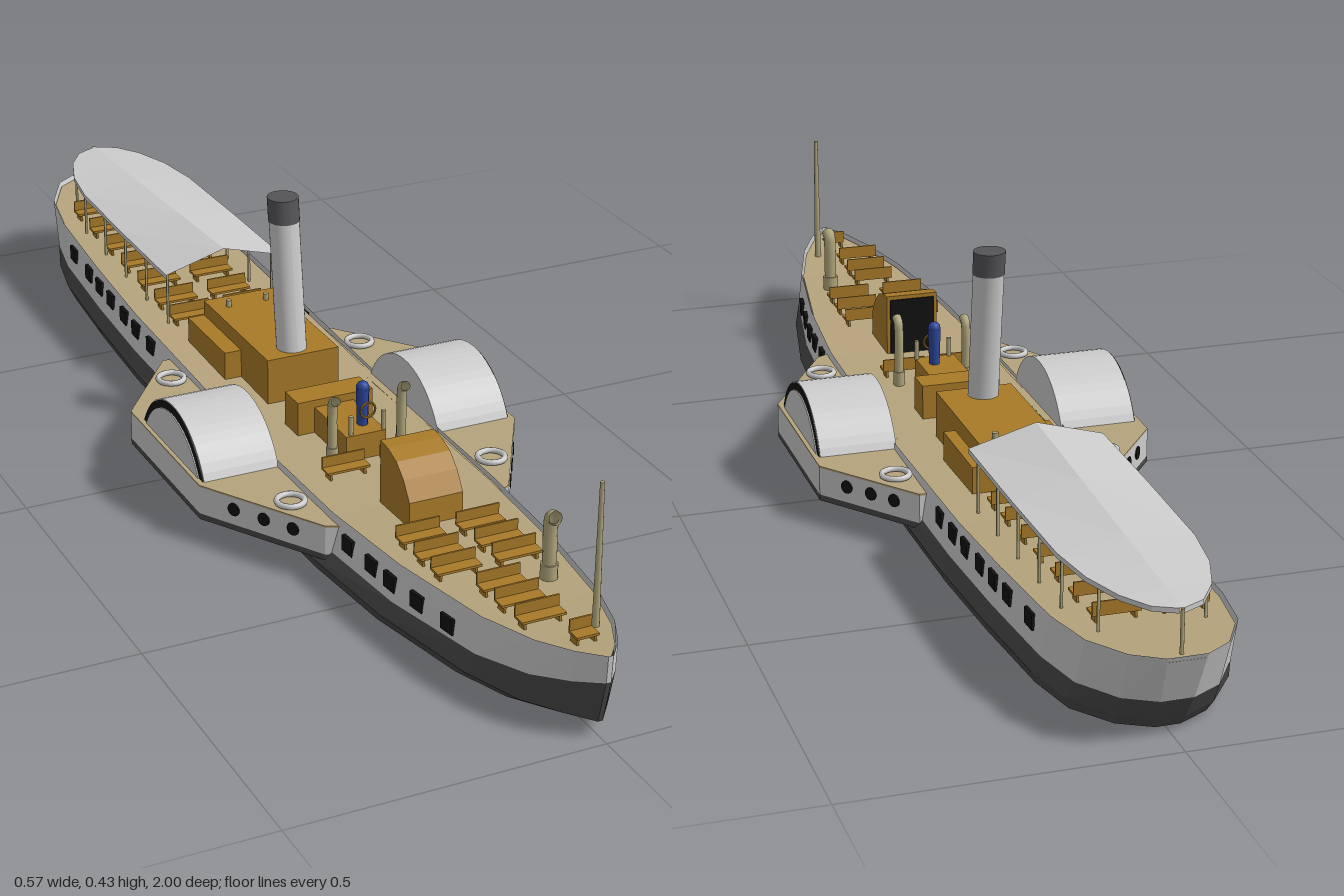
import * as THREE from 'three';

const mat = (color, flatShading = false) =>
  new THREE.MeshStandardMaterial({ color, flatShading, side: THREE.DoubleSide });
const GREY = mat(0xcccccc, true), SMOOTH = mat(0xcccccc), DARK = mat(0x484848, true), DECK = mat(0xb5a37c, true);
const WOOD = mat(0xa87a28, true), BLACK = mat(0x111111), TAN = mat(0xb0a67c), BLUE = mat(0x2c469c);

// hull stations: z, half width at rim, half width at waterline, rim height
const STATIONS = [
  [1, .004, .004, .145], [.96, .035, .035, .14], [.9, .065, .075, .133], [.8, .095, .11, .125],
  [.6, .125, .148, .115], [.4, .14, .165, .108], [0, .145, .17, .103], [-.4, .145, .165, .115],
  [-.6, .14, .155, .125], [-.8, .13, .14, .135], [-.9, .113, .12, .142], [-.97, .075, .072, .147], [-1, .03, .02, .148],
];

// interpolates the station table at z
function station(z) {
  let i = 0;
  while (i < STATIONS.length - 2 && STATIONS[i + 1][0] > z) i++;
  const a = STATIONS[i], b = STATIONS[i + 1], t = (a[0] - z) / (a[0] - b[0]);
  return a.map((v, k) => v + (b[k] - v) * t);
}
const deckY = z => station(z)[3] - .008;

// skin through rows of points
function loft(rows) {
  const n = rows[0].length, index = [];
  for (let i = 0; i < rows.length - 1; i++) for (let j = 0; j < n - 1; j++) {
    const a = i * n + j, b = a + 1, c = b + n, d = a + n;
    index.push(a, b, c, a, c, d);
  }
  const g = new THREE.BufferGeometry();
  g.setAttribute('position', new THREE.Float32BufferAttribute(rows.flat(2), 3));
  g.setIndex(index);
  g.computeVertexNormals();
  return g;
}

// one closed ring round the hull from a rule giving [half width, y, z]
function hullRing(rule) {
  const port = STATIONS.map(s => rule(...s));
  const ring = [...port, ...port.slice().reverse().map(([x, y, z]) => [-x, y, z])];
  return [...ring, ring[0]];
}

// prism of a (z, y) profile between x0 and x1
function sideExtrude(points, x0, x1) {
  const shape = new THREE.Shape(points.map(([z, y]) => new THREE.Vector2(-z, y)));
  return new THREE.ExtrudeGeometry(shape, { depth: x1 - x0, bevelEnabled: false }).rotateY(Math.PI / 2).translate(x0, 0, 0);
}

// prism of an (x, z) plan between y0 and y1
function planExtrude(points, y0, y1) {
  const shape = new THREE.Shape(points.map(([x, z]) => new THREE.Vector2(x, -z)));
  return new THREE.ExtrudeGeometry(shape, { depth: y1 - y0, bevelEnabled: false }).rotateX(-Math.PI / 2).translate(0, y0, 0);
}

export function createModel() {
  const root = new THREE.Group();
  const add = (name, geo, material, x = 0, y = 0, z = 0) => {
    const m = new THREE.Mesh(geo, material);
    m.name = name;
    m.position.set(x, y, z);
    root.add(m);
    return m;
  };
  // box from its extents
  const block = (name, material, x0, x1, y0, y1, z0, z1) =>
    add(name, new THREE.BoxGeometry(x1 - x0, y1 - y0, z1 - z0), material, (x0 + x1) / 2, (y0 + y1) / 2, (z0 + z1) / 2);
  const post = (name, material, x, z, y0, y1, r0, r1 = r0, sides = 10) =>
    add(name, new THREE.CylinderGeometry(r1, r0, y1 - y0, sides), material, x, (y0 + y1) / 2, z);

  // hull: open below, dark lower strakes and light topsides
  const rise = z => z > 0 ? .05 + .05 * z ** 6 : .05 + .015 * z * z;
  const keel = hullRing((z, r, w) => [w * .95, .002 + .006 * z ** 4, z * .93]);
  const chine = hullRing((z, r, w) => [w * 1.02, .028, z * (z > 0 ? .98 : .945)]);
  const paint = hullRing((z, r, w) => [(w + r) / 2, rise(z), z * (z > 0 ? .997 : .965)]);
  const rim = hullRing((z, r, w, y) => [r, y, z]);
  add('lowerHull', loft([keel, chine, paint]), DARK);
  add('upperHull', loft([paint, rim]), GREY);
  const rail = s => STATIONS.map(([z, r, , y]) => [s * (r - .003), y - .008, z * .997]);
  add('deck', loft([rail(1), rail(-1)]), DECK);

  // hull windows
  const windows = [.73, .655, .585, .53, .46].map(z => [z, .08])
    .concat([-.32, -.39, -.45, -.52, -.58, -.64, -.73].map(z => [z, .088 - .03 * (z + .32)]));
  for (const s of [1, -1]) for (const [z, y] of windows) {
    const [, r, w, top] = station(z), low = rise(z);
    const x = (w + r) / 2 + (r - (w + r) / 2) * (y - low) / (top - low);
    const pane = add('window', new THREE.BoxGeometry(.008, .026, .03), BLACK, s * x, y, z);
    const slope = (station(z + .03)[1] - station(z - .03)[1]) / .06;
    pane.rotation.y = Math.atan(slope) * s;
  }

  // paddle sponsons and boxes on both sides
  const plan = [[.13, .43], [.16, .415], [.283, .21], [.283, -.08], [.16, -.24], [.13, -.24]];
  const arc = (r, n = 20) => {
    const cy = .037, a0 = Math.asin((.094 - cy) / r);
    return Array.from({ length: n + 1 }, (_, i) => {
      const a = a0 + (Math.PI - 2 * a0) * i / n;
      return [.08 + r * Math.cos(a), cy + r * Math.sin(a)];
    });
  };
  for (const s of [1, -1]) {
    const mirrored = plan.map(([x, z]) => [s * x, z]);
    add('sponsonKeel', planExtrude(mirrored, .036, .046), DARK);
    add('sponson', planExtrude(mirrored, .046, .093), GREY);
    add('sponsonDeck', planExtrude(mirrored, .093, .096), DECK);
    const span = (a, b) => s > 0 ? [a, b] : [-b, -a];
    add('paddleBox', sideExtrude(arc(.138), ...span(.143, .272)), GREY);
    add('paddleBoxArch', sideExtrude(arc(.136), ...span(.272, .274)), BLACK);
    add('paddleBoxPanel', sideExtrude(arc(.124), ...span(.274, .276)), GREY);
    for (const z of [.325, -.16])
      add('lifebuoy', new THREE.TorusGeometry(.022, .005, 8, 24).rotateX(Math.PI / 2), SMOOTH, s * .177, .101, z);
    // three portholes on each slanted face
    for (const [a, b] of [[plan[1], plan[2]], [plan[4], plan[3]]]) for (const t of [.25, .48, .72]) {
      const x = a[0] + (b[0] - a[0]) * t, z = a[1] + (b[1] - a[1]) * t;
      const hole = add('porthole', new THREE.CylinderGeometry(.011, .011, .004, 16).rotateX(Math.PI / 2), BLACK, s * x, .073, z);
      hole.rotation.y = Math.atan2(s * Math.abs(b[1] - a[1]), Math.sign(a[1]) * (b[0] - a[0]));
    }
  }

  // deck houses
  block('engineHouse', WOOD, -.065, .065, .09, .175, -.28, -.01);
  block('engineHouseWings', WOOD, -.095, .085, .09, .148, -.28, -.12);
  for (const x of [-.035, .035]) post('roofVent', TAN, x, -.24, .17, .187, .005);
  block('bridgeHouse', WOOD, -.07, .065, .09, .155, .07, .12);
  block('bridgeStep', WOOD, -.04, .03, .09, .142, .12, .24);
  add('companionway', sideExtrude([[.385, .095], [.488, .095], [.486, .145], [.465, .175], [.44, .195], [.41, .205], [.385, .207]], -.052, .04), WOOD);
  block('companionwayDoor', BLACK, -.046, .034, .1, .2, .382, .385);

  // helm with its column and wheel
  post('helmColumn', BLUE, .005, .205, .14, .205, .009, .011);
  add('helmCap', new THREE.SphereGeometry(.011, 12, 8), BLUE, .005, .207, .205);
  add('wheel', new THREE.TorusGeometry(.013, .002, 6, 16), WOOD, .005, .175, .225);
  for (const x of [-.03, .028]) post('bridgePost', TAN, x, .235, .14, .175, .004);

  // raked funnel with dark top
  const funnel = (name, material, y0, y1, r) => {
    const zAt = y => -.042 - (y - .16) * .13;
    const g = new THREE.CylinderGeometry(r, r, y1 - y0, 28), p = g.attributes.position, mid = (y0 + y1) / 2;
    for (let i = 0; i < p.count; i++) p.setZ(i, p.getZ(i) + zAt(p.getY(i) + mid));
    g.computeVertexNormals();
    add(name, g, material, -.006, mid, 0);
  };
  funnel('funnel', SMOOTH, .15, .394, .0255);
  funnel('funnelTop', mat(0x555558), .394, .434, .0263);

  // cowl ventilators
  for (const [x, z, top, r] of [[.057, .725, .23, .011], [-.058, .225, .217, .008], [.06, .235, .225, .008]]) {
    const y0 = deckY(z), path = new THREE.CatmullRomCurve3([[y0, 0], [y0 + .04, 0], [top - .03, 0], [top - .014, .003], [top - r, .014]]
      .map(([y, dz]) => new THREE.Vector3(x, y, z + dz)));
    add('ventilator', new THREE.TubeGeometry(path, 24, r, 12), TAN);
    post('ventilatorBase', TAN, x, z, y0, y0 + .025, r * 1.25);
  }

  post('mast', TAN, .04, .89, .12, .355, .006, .0035);
  post('sternPole', TAN, 0, -.975, .135, .207, .003);

  // benches: centre x, z, width
  const benches = [[-.025, .73, .072], [-.025, .785, .072], [-.025, .845, .072], [0, .925, .036]];
  for (const z of [.28, .54, .6, .655, -.35, -.42, -.5, -.58, -.66, -.74, -.82])
    for (const x of [-.06, .042]) benches.push([x, z, .074]);
  for (const [x, z, w] of benches) {
    const y = deckY(z);
    block('benchSeat', WOOD, x - w / 2, x + w / 2, y + .012, y + .016, z - .011, z + .013);
    block('benchBack', WOOD, x - w / 2, x + w / 2, y + .012, y + .034, z - .012, z - .009);
    for (const s of [-1, 1]) block('benchLeg', WOOD, x + s * w * .4 - .002, x + s * w * .4 + .002, y, y + .012, z - .009, z + .009);
  }

  // stern awning with ridge, short valance and poles
  const outline = [[-.34, .11], [-.55, .109], [-.75, .105], [-.84, .092], [-.91, .068], [-.955, .038], [-.972, .004]];
  const edge = (s, drop) => outline.map(([z, w]) => [s * w, .207 - drop, z]);
  const ridge = outline.map(([z]) => [0, .238 - (-.34 - z) * .048, z]);
  add('awning', loft([edge(1, .008), edge(1, 0), ridge, edge(-1, 0), edge(-1, .008)]), GREY);
  for (const z of [-.36, -.46, -.56, -.66, -.76, -.86]) for (const s of [-1, 1])
    post('awningPole', TAN, s * (z < -.8 ? .08 : .1), z, deckY(z), .207, .0025, .0025, 6);

  return root;
}
